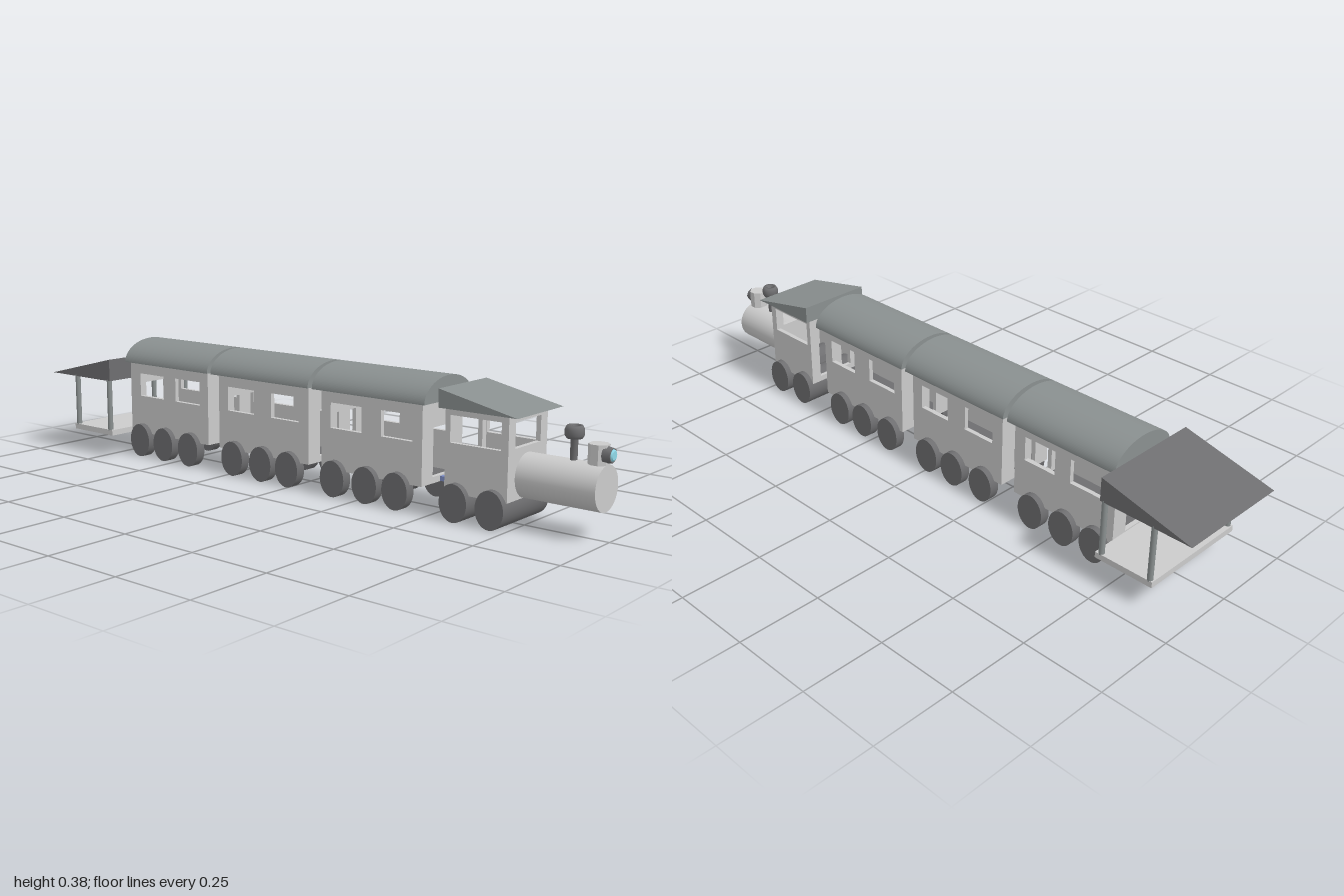
import * as THREE from 'three';

const CX = 0.007; // centre line of the train
const mat = (color) => new THREE.MeshStandardMaterial({ color });
const grey = mat(0xcccccc);
const roofGrey = mat(0x8a9090);
const darkGrey = mat(0x6e6e70);
const glass = mat(0x8fd8e8);
const blue = mat(0x8090c8);

function add(parent, name, geometry, material, x = 0, y = 0, z = 0) {
  const mesh = new THREE.Mesh(geometry, material);
  mesh.name = name;
  mesh.position.set(x, y, z);
  parent.add(mesh);
  return mesh;
}

// Box given by its limits
function box(parent, name, material, x0, x1, y0, y1, z0, z1) {
  return add(parent, name, new THREE.BoxGeometry(x1 - x0, y1 - y0, z1 - z0), material,
    (x0 + x1) / 2, (y0 + y1) / 2, (z0 + z1) / 2);
}

// Flat panel with rectangular openings, each [u0, u1, v0, v1]
function panel(u0, u1, v0, v1, openings, depth) {
  const rect = (Type, a, b, c, d) => {
    const path = new Type();
    path.moveTo(a, c).lineTo(b, c).lineTo(b, d).lineTo(a, d).closePath();
    return path;
  };
  const shape = rect(THREE.Shape, u0, u1, v0, v1);
  for (const o of openings) shape.holes.push(rect(THREE.Path, ...o));
  return new THREE.ExtrudeGeometry(shape, { depth, bevelEnabled: false });
}

// Profile in (z, y) extruded along x
function alongX(points, x0, x1) {
  const shape = new THREE.Shape(points.map(([z, y]) => new THREE.Vector2(z, y)));
  return new THREE.ExtrudeGeometry(shape, { depth: x1 - x0, bevelEnabled: false })
    .rotateY(-Math.PI / 2).translate(x1, 0, 0);
}

const T = 0.014; // wall thickness
const HALF = 0.098; // half width of the bodies
const FLOOR = 0.077, TOP = 0.31;

// Hollow body: two sides, two ends and a floor
function body(parent, z0, z1, sideWindows, frontOpening, backOpening) {
  const side = panel(z0, z1, FLOOR, TOP, sideWindows, T).rotateY(-Math.PI / 2);
  add(parent, 'leftWall', side, grey, CX + HALF);
  add(parent, 'rightWall', side, grey, CX - HALF + T);
  const end = (o) => panel(-HALF + T, HALF - T, FLOOR, TOP, [o], T);
  add(parent, 'frontWall', end(frontOpening), grey, CX, 0, z1 - T);
  add(parent, 'backWall', end(backOpening), grey, CX, 0, z0);
  box(parent, 'floor', darkGrey, CX - HALF + T, CX + HALF - T, FLOOR, FLOOR + 0.01, z0 + T, z1 - T);
}

// Slightly oval wheel lying across the train
function wheel(parent, name, x, z, width) {
  const geometry = new THREE.CylinderGeometry(0.054, 0.054, width, 32)
    .rotateZ(Math.PI / 2).scale(1, 1, 0.82);
  add(parent, name, geometry, darkGrey, x, 0.054, z);
}

function passengerCar(z0, z1, roof0, roof1, windows, wheels) {
  const car = new THREE.Group();
  car.name = 'passengerCar';
  const door = [-0.045, 0.045, 0.095, 0.236];
  body(car, z0, z1, windows.map(([a, b]) => [a, b, 0.2, 0.275]), door, door);
  // Half-elliptical roof
  const arc = new THREE.Shape().absellipse(0, 0, 0.117, 0.07, 0, Math.PI, false);
  arc.closePath();
  const roof = new THREE.ExtrudeGeometry(arc, { depth: roof1 - roof0, bevelEnabled: false, curveSegments: 32 });
  add(car, 'roof', roof, roofGrey, CX, TOP, roof0);
  for (const z of wheels)
    for (const s of [-1, 1]) wheel(car, 'wheel', CX + s * 0.101, z, 0.032);
  return car;
}

function locomotive() {
  const loco = new THREE.Group();
  loco.name = 'locomotive';
  // Cab
  body(loco, 0.551, 0.749, [[0.567, 0.727, 0.215, 0.291]],
    [-0.064, 0.064, 0.218, 0.29], [-0.064, 0.064, 0.095, 0.29]);
  add(loco, 'cabRoof', alongX([[0.54, TOP], [0.785, TOP], [0.54, 0.362]], CX - 0.117, CX + 0.117), roofGrey);
  for (const z of [0.706, 0.591]) wheel(loco, 'wheelRoller', CX, z, 0.234);
  // Boiler
  add(loco, 'boiler', new THREE.CylinderGeometry(0.0625, 0.0625, 0.235, 32).rotateX(Math.PI / 2),
    grey, CX, 0.137, 0.8645);
  // Chimney with a hollow bulging cap
  const profile = [[0.01, 0.19], [0.01, 0.255], [0.021, 0.256], [0.026, 0.265], [0.026, 0.28],
    [0.021, 0.29], [0.012, 0.29], [0.01, 0.275], [0, 0.275]].map(([r, y]) => new THREE.Vector2(r, y));
  add(loco, 'chimney', new THREE.LatheGeometry(profile, 20), darkGrey, CX, 0, 0.885);
  // Headlamp
  const lampGrey = grey.clone();
  lampGrey.flatShading = true;
  add(loco, 'headlamp', new THREE.CylinderGeometry(0.028, 0.028, 0.054, 8, 1, false, Math.PI / 8),
    lampGrey, CX, 0.225, 0.956);
  const rim = new THREE.CylinderGeometry(0.02, 0.024, 0.022, 8).rotateX(Math.PI / 2);
  add(loco, 'headlampRim', rim, darkGrey, CX, 0.226, 0.985);
  const lens = new THREE.CylinderGeometry(0.013, 0.019, 0.006, 8).rotateX(Math.PI / 2);
  add(loco, 'headlampLens', lens, glass, CX, 0.226, 0.997);
  return loco;
}

function porch() {
  const group = new THREE.Group();
  group.name = 'rearPorch';
  box(group, 'platform', grey, -0.18, 0.178, 0.073, 0.091, -0.893, -0.706);
  add(group, 'porchRoof', alongX([[-0.711, 0.254], [-0.711, 0.325], [-1, 0.254]].reverse(), -0.18, 0.178), darkGrey);
  for (const x of [-0.172, 0.17])
    for (const z of [-0.722, -0.881])
      add(group, 'post', new THREE.CylinderGeometry(0.0085, 0.0085, 0.17, 16), roofGrey, x, 0.173, z);
  return group;
}

export function createModel() {
  const train = new THREE.Group();
  train.name = 'train';
  train.add(
    locomotive(),
    passengerCar(0.118, 0.476, 0.096, 0.494, [[0.152, 0.265], [0.334, 0.444]], [0.396, 0.289, 0.171]),
    passengerCar(-0.299, 0.067, -0.317, 0.08, [[-0.26, -0.15], [-0.08, 0.029]], [-0.005, -0.112, -0.23]),
    passengerCar(-0.706, -0.348, -0.711, -0.332, [[-0.66, -0.55], [-0.495, -0.385]], [-0.425, -0.54, -0.65]),
    porch());
  // Couplings between the vehicles
  for (const [a, b] of [[0.47, 0.56], [0.06, 0.125], [-0.355, -0.29]])
    box(train, 'coupling', blue, CX - 0.009, CX + 0.009, 0.078, 0.092, a, b);
  return train;
}
